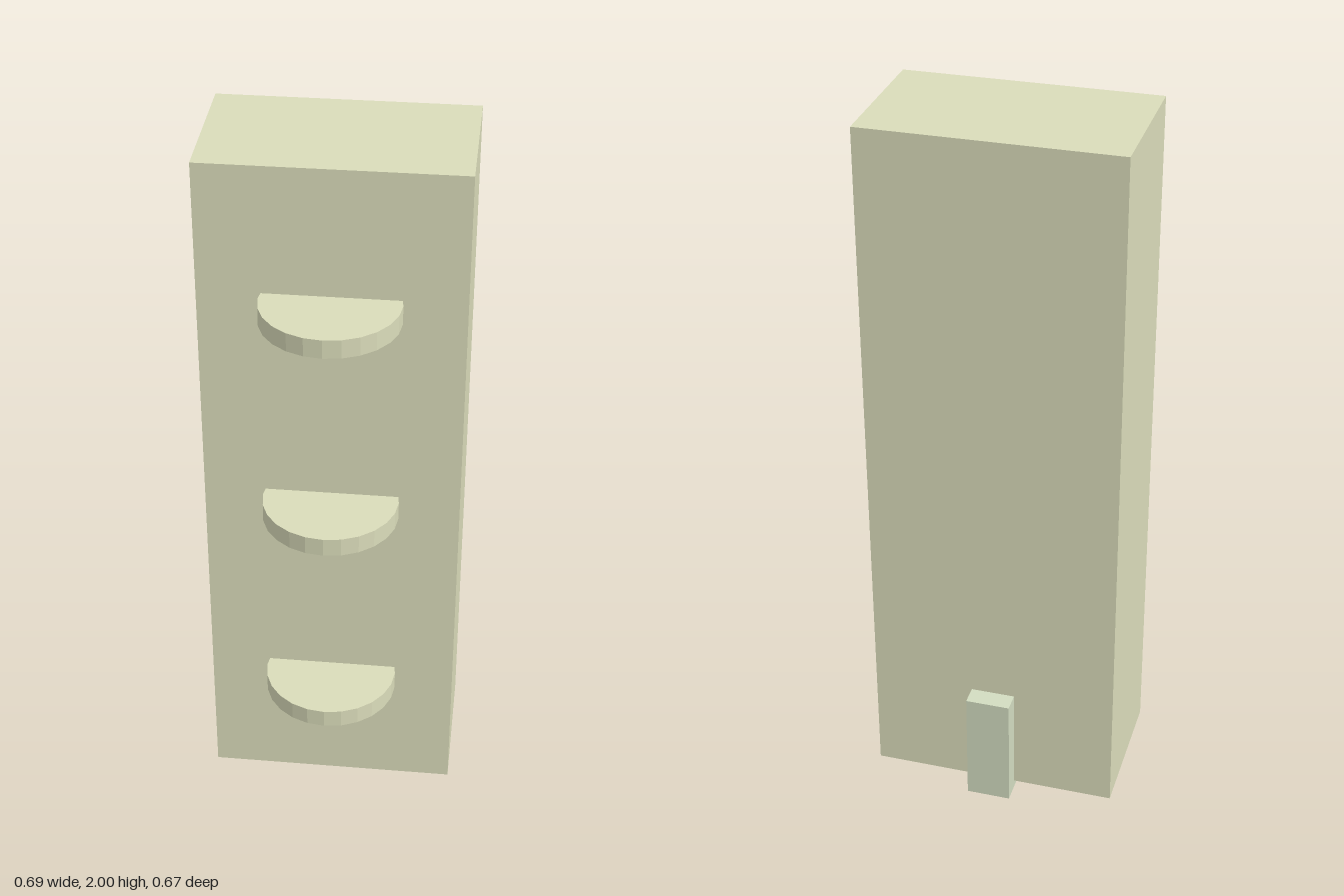
import * as THREE from 'three';

const bodyMaterial = new THREE.MeshStandardMaterial({ color: 0xdadcba, flatShading: true });
const clipMaterial = new THREE.MeshStandardMaterial({ color: 0xd2dcc0, flatShading: true });

// Box given by its minimum and maximum corners
function box(name, min, max, material) {
  const size = max.map((v, i) => v - min[i]);
  const mesh = new THREE.Mesh(new THREE.BoxGeometry(...size), material);
  mesh.position.set(...max.map((v, i) => (v + min[i]) / 2));
  mesh.name = name;
  return mesh;
}

export function createModel() {
  const group = new THREE.Group();
  group.name = 'slab with ledges';

  // Tall main slab
  group.add(box('body', [-0.347, 0.022, -0.28], [0.347, 2, 0.123], bodyMaterial));

  // Three disc ledges, half sunk into the front face
  const disc = new THREE.CylinderGeometry(0.184, 0.184, 0.052, 24);
  [0.406, 1.011, 1.62].forEach((y, i) => {
    const ledge = new THREE.Mesh(disc, bodyMaterial);
    ledge.name = `ledge${i + 1}`;
    ledge.position.set(0, y, 0.15);
    group.add(ledge);
  });

  // Block at the foot of the back, wrapping just under the body
  group.add(box('backFoot', [-0.062, 0, -0.335], [0.062, 0.333, -0.11], clipMaterial));

  return group;
}
